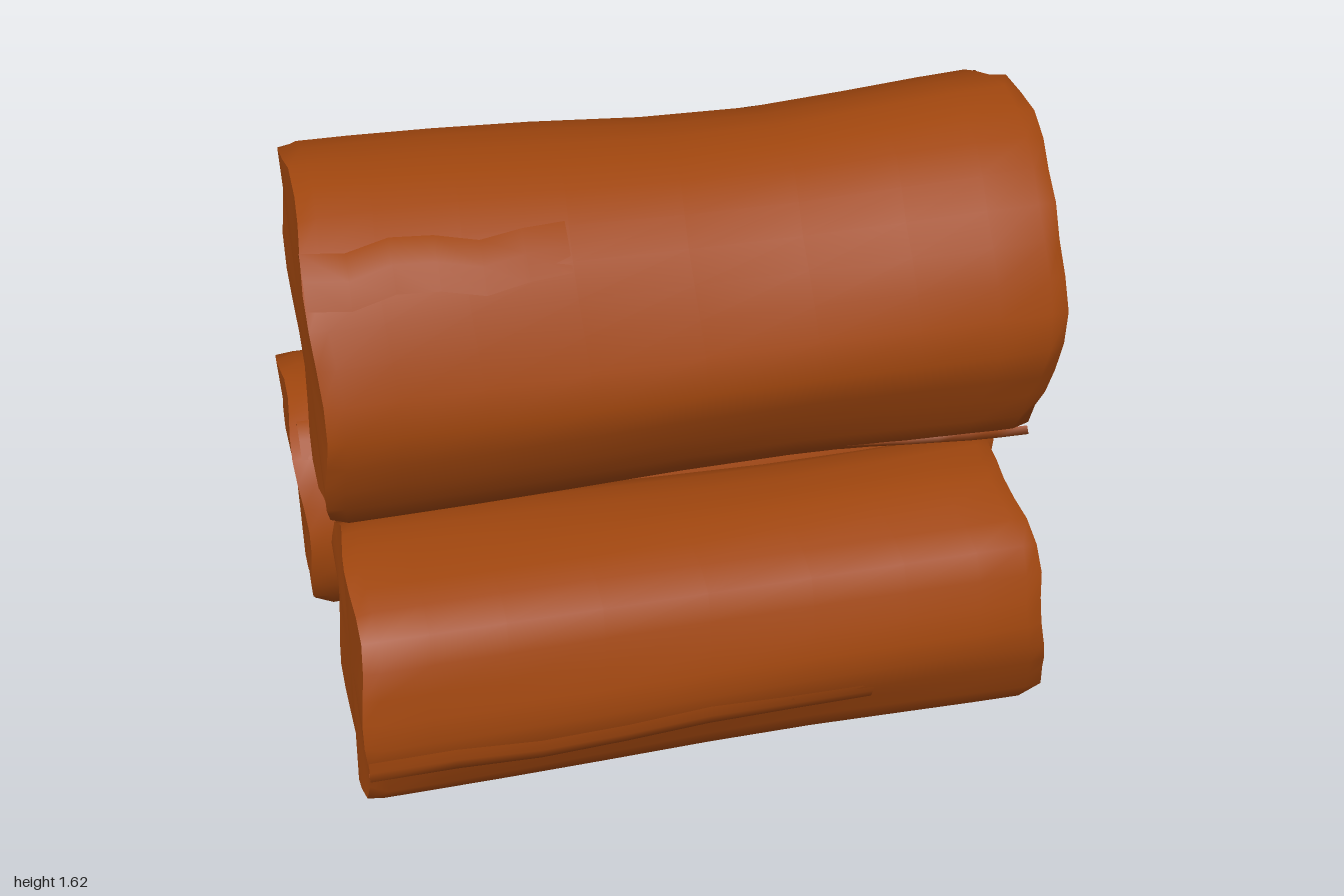
import * as THREE from 'three';

const bark = new THREE.MeshStandardMaterial({ color: 0xa0460e, side: THREE.DoubleSide });
bark.name = 'brown bark';

const SIDES = 32;
const RINGS = 11;
const { lerp, degToRad } = THREE.MathUtils;

// Angles run from the front (+z) up over the top (90) to the back (180).
// radii: evenly spaced round the log; sag: extra dip on top; flakes: [from angle, to angle, from x, to x]
const logs = [
  {
    name: 'topLog', y: 1.13, z: 0.01, seed: 1, sag: 0.06,
    radii: [0.5, 0.48, 0.487, 0.488, 0.492, 0.482, 0.485, 0.495, 0.488, 0.488, 0.5, 0.5, 0.505, 0.497, 0.49, 0.475],
    left: -0.935, leftTilt: 0, right: 0.925, rightTilt: 0.012,
    flakes: [[128, 158, 0.25, 0.93], [292, 312, 0.42, 0.92], [40, 56, -0.3, -0.94]],
  },
  {
    name: 'frontLog', y: 0.365, z: 0.39, seed: 4, sag: 0,
    radii: [0.37, 0.367, 0.395, 0.363, 0.352, 0.362, 0.357, 0.35, 0.367, 0.355, 0.335, 0.38, 0.35, 0.36, 0.375, 0.352],
    left: -0.92, leftTilt: 0.01, right: 0.86, rightTilt: -0.035,
    flakes: [[150, 166, 0.3, 0.86], [352, 341, 0.4, -0.92], [222, 243, 0.5, 0.89]],
  },
  {
    name: 'backLog', y: 0.365, z: -0.395, seed: 7, sag: 0.02,
    radii: [0.365, 0.36, 0.37, 0.355, 0.352, 0.355, 0.362, 0.37, 0.357, 0.365, 0.372, 0.385, 0.342, 0.345, 0.365, 0.355],
    left: -0.98, leftTilt: -0.01, right: 0.98, rightTilt: 0.012,
    flakes: [[140, 165, -0.32, -0.97], [45, 62, 0.2, -0.97]],
  },
];

// Bark radius: blended outline, narrow waist and long shallow ridges
function surface(log, deg, x) {
  const a = degToRad(deg);
  const n = log.radii.length;
  const at = (deg / 360) * n;
  const i = Math.floor(at);
  const outline = lerp(log.radii[i % n], log.radii[(i + 1) % n], at - i);
  const dip = Math.exp(-(((x - 0.2) / 0.5) ** 2));
  const waist = 1 - dip * (0.035 + log.sag * Math.max(0, Math.sin(a)));
  const ridge = Math.sin(11 * a + 2.2 * x + log.seed) + Math.sin(5 * a - 3 * x + 2 * log.seed);
  return outline * waist + 0.003 * ridge;
}

function build(name, points, index) {
  const geometry = new THREE.BufferGeometry();
  geometry.setAttribute('position', new THREE.Float32BufferAttribute(points, 3));
  geometry.setIndex(index);
  geometry.computeVertexNormals();
  const mesh = new THREE.Mesh(geometry, bark);
  mesh.name = name;
  return mesh;
}

const place = (deg, r, x) => [x, r * Math.sin(degToRad(deg)), r * Math.cos(degToRad(deg))];

function makeLog(log) {
  const group = new THREE.Group();
  group.name = log.name;
  group.position.set(0, log.y, log.z);

  // Bark sleeve, closely ringed and worn at both ends
  const rings = [];
  for (let i = 0; i < RINGS; i++) {
    const t = (1 - Math.cos((Math.PI * i) / (RINGS - 1))) / 2;
    const rim = i === 0 || i === RINGS - 1;
    const ring = [];
    for (let j = 0; j < SIDES; j++) {
      const deg = (j * 360) / SIDES;
      const up = Math.sin(degToRad(deg));
      const chip = 0.008 * Math.sin(degToRad(5 * deg) + log.seed);
      const x = lerp(log.left + log.leftTilt * up + chip, log.right + log.rightTilt * up + chip, t);
      const wear = rim ? 0.967 + 0.022 * Math.sin(j * 2.4 + log.seed + i) : 1;
      ring.push(place(deg, surface(log, deg, x) * wear, x));
    }
    rings.push(ring);
  }
  const index = [];
  for (let i = 0; i < RINGS - 1; i++) {
    for (let j = 0; j < SIDES; j++) {
      const k = (j + 1) % SIDES;
      const a = i * SIDES + j, b = a + SIDES, c = (i + 1) * SIDES + k, d = i * SIDES + k;
      index.push(a, b, c, a, c, d);
    }
  }
  group.add(build('bark', rings.flat(2), index));

  // Sawn ends
  [['leftCut', rings[RINGS - 1], 1], ['rightCut', rings[0], -1]].forEach(([name, ring, side]) => {
    const mid = ring.reduce((sum, p) => sum + p[0], 0) / SIDES;
    const fan = [];
    for (let j = 0; j < SIDES; j++) {
      const k = (j + 1) % SIDES;
      fan.push(SIDES, side > 0 ? k : j, side > 0 ? j : k);
    }
    group.add(build(name, [...ring.flat(), mid, 0, 0], fan));
  });

  // Lifted bark flakes, rising towards the log's end
  log.flakes.forEach(([from, to, x0, x1]) => {
    const points = [], faces = [];
    const across = [-0.1, 0.55, 1, -0.3];
    const n = 6;
    for (let i = 0; i <= n; i++) {
      const x = lerp(x0, x1, i / n);
      const lift = 0.018 * Math.min(1, 0.1 + (1.4 * i) / n);
      across.forEach((h, j) => {
        const deg = lerp(from, to, Math.min(1, j / 2)) + 2 * Math.sin(i * 1.9 + log.seed);
        points.push(...place(deg, surface(log, deg, x) + lift * h, x));
      });
    }
    const outward = (to > from) === (x1 > x0);
    for (let i = 0; i < n; i++) {
      for (let j = 0; j < 3; j++) {
        const a = i * 4 + j, b = a + 4;
        if (outward) faces.push(a, b, b + 1, a, b + 1, a + 1);
        else faces.push(a, b + 1, b, a, a + 1, b + 1);
      }
    }
    group.add(build('barkFlake', points, faces));
  });
  return group;
}

export function createModel() {
  const model = new THREE.Group();
  model.name = 'logPile';
  logs.forEach((log) => model.add(makeLog(log)));
  return model;
}
